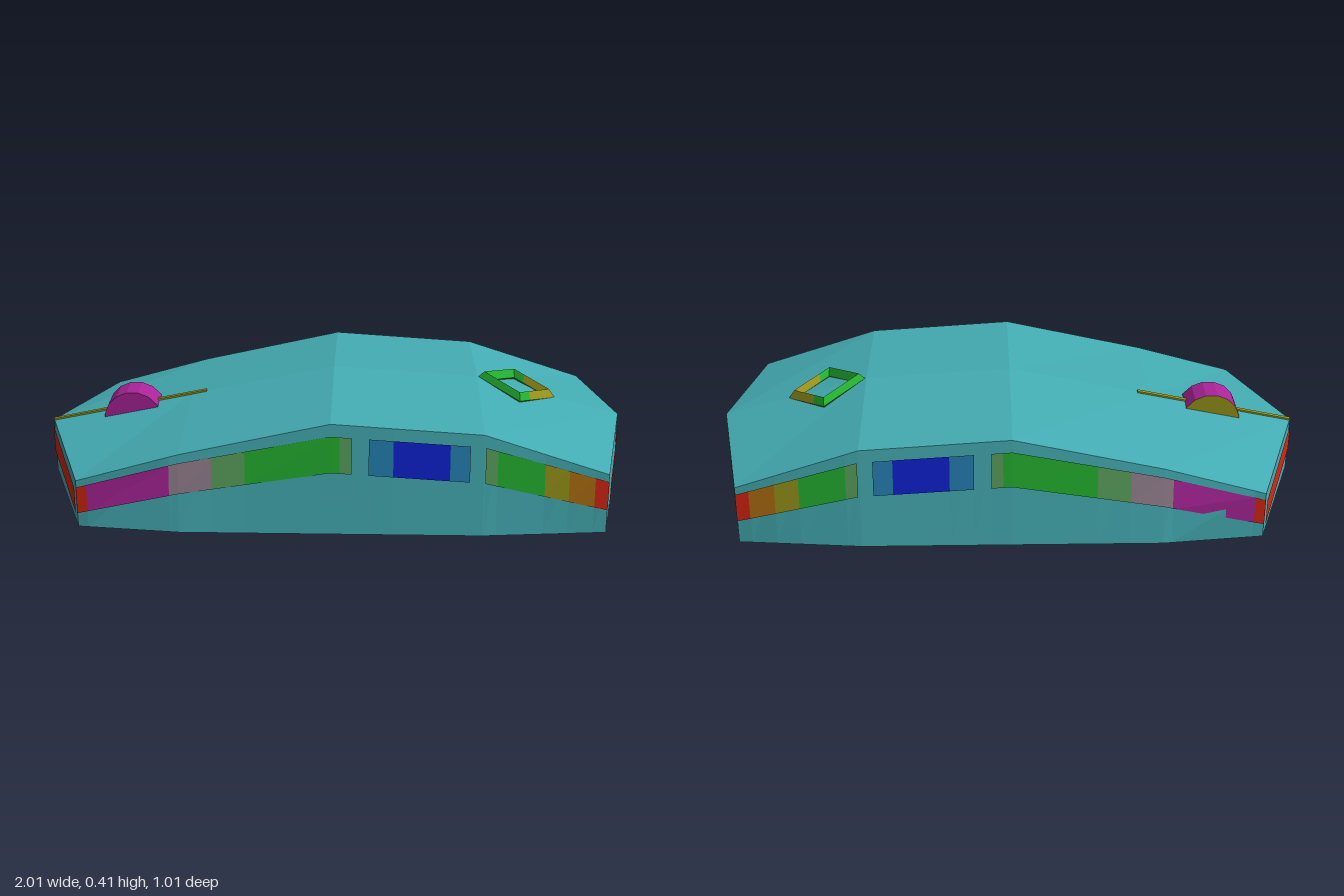
import * as THREE from 'three';

const colour = (name, hex) => {
  const m = new THREE.MeshStandardMaterial({ color: hex, flatShading: true });
  m.name = name;
  return m;
};

const lerp = THREE.MathUtils.lerp;

// Mesh from four-cornered faces on the +z half, mirrored to the -z half
function mirroredMesh(name, quads, material) {
  const pos = [];
  const add = (a, b, c, d) => [a, b, c, a, c, d].forEach((p) => pos.push(...p));
  const flip = ([x, y, z]) => [x, y, -z];
  for (const [a, b, c, d] of quads) {
    add(a, b, c, d);
    add(flip(d), flip(c), flip(b), flip(a));
  }
  const g = new THREE.BufferGeometry();
  g.setAttribute('position', new THREE.Float32BufferAttribute(pos, 3));
  g.computeVertexNormals();
  const mesh = new THREE.Mesh(g, material);
  mesh.name = name;
  return mesh;
}

// Stations along the body: side x, side top y, base half width, ridge x, ridge y, stripe bottom, stripe top
const stations = [
  [-0.84, 0.165, 0.467, -1, 0.195, 0.05, 0.143],
  [-0.5, 0.262, 0.505, -0.5, 0.3, 0.132, 0.235],
  [0, 0.375, 0.505, 0, 0.406, 0.212, 0.335],
  [0.5, 0.342, 0.505, 0.5, 0.374, 0.182, 0.303],
  [0.91, 0.208, 0.467, 1, 0.237, 0.083, 0.184],
];
const TOP_Z = 0.467;

// Body section at any x between the two end stations
function section(x) {
  let i = 0;
  while (i < stations.length - 2 && x > stations[i + 1][0]) i++;
  const [a, b] = [stations[i], stations[i + 1]];
  const t = (x - a[0]) / (b[0] - a[0]);
  const [, top, base, , , lo, hi] = a.map((v, k) => lerp(v, b[k], t));
  return { top, base, lo, hi };
}

// Point on the side wall, pushed out by an offset
function wallPoint(x, y, offset = 0) {
  const s = section(x);
  return [x, y, lerp(s.base, TOP_Z, y / s.top) + offset];
}

export function createModel() {
  const group = new THREE.Group();
  const teal = colour('teal', 0x44adb4);
  const red = colour('red', 0xd82612);
  const magenta = colour('magenta', 0xaa2499);
  const green = colour('green', 0x24b030);
  const blue = colour('blue', 0x0f22d2);
  const midBlue = colour('mid blue', 0x2580b4);
  const sage = colour('sage', 0x5a9f5c);
  const mauve = colour('mauve', 0x94808e);
  const amber = colour('amber', 0xb27012);
  const olive = colour('olive', 0x98941a);

  // Colour bands of the side stripe: start, end, material
  const bands = [
    [-0.84, -0.805, red], [-0.805, -0.53, magenta], [-0.53, -0.39, mauve],
    [-0.39, -0.28, sage], [-0.28, 0.03, green], [0.03, 0.07, sage],
    [0.125, 0.205, midBlue], [0.205, 0.39, blue], [0.39, 0.455, midBlue],
    [0.505, 0.545, sage], [0.545, 0.7, green], [0.7, 0.78, olive],
    [0.78, 0.865, amber], [0.865, 0.91, red],
  ];
  const cuts = [...new Set([...bands.flatMap((b) => [b[0], b[1]]), ...stations.map((s) => s[0])])]
    .sort((a, b) => a - b);

  // Upper shell and underside
  const shell = [], under = [];
  for (let i = 0; i < stations.length - 1; i++) {
    const [a, b] = [stations[i], stations[i + 1]];
    shell.push([[a[0], a[1], TOP_Z], [b[0], b[1], TOP_Z], [b[3], b[4], 0], [a[3], a[4], 0]]);
    under.push([[a[3], 0, 0], [b[3], 0, 0], [b[0], 0, b[2]], [a[0], 0, a[2]]]);
  }
  group.add(mirroredMesh('topShell', shell, teal));
  group.add(mirroredMesh('underside', under, olive));

  // Side walls
  const walls = [];
  for (let i = 0; i < cuts.length - 1; i++) {
    const [x0, x1] = [cuts[i], cuts[i + 1]];
    walls.push([wallPoint(x0, 0), wallPoint(x1, 0),
      wallPoint(x1, section(x1).top), wallPoint(x0, section(x0).top)]);
  }
  group.add(mirroredMesh('sideWalls', walls, teal));

  // End walls and their red stripes
  const first = stations[0], last = stations[4];
  const endFace = (s, dir, lo, hi, midLo, midHi, out) => {
    const c = (y) => [s[0] + dir * out, y, TOP_Z + out];
    const m = (y) => [s[3] + (out ? dir * 0.004 : 0), y, 0];
    return dir > 0 ? [c(lo), m(midLo), m(midHi), c(hi)] : [m(midLo), c(lo), c(hi), m(midHi)];
  };
  group.add(mirroredMesh('endWalls', [
    endFace(first, -1, 0, first[1], 0, first[4], 0),
    endFace(last, 1, 0, last[1], 0, last[4], 0),
  ], teal));
  group.add(mirroredMesh('endStripes', [
    endFace(first, -1, first[5], first[6], 0.075, 0.172, 0.005),
    endFace(last, 1, last[5], last[6], 0.107, 0.212, 0.005),
  ], red));

  // Side stripe, band by band
  for (const [start, end, material] of bands) {
    const quads = [];
    const xs = cuts.filter((x) => x >= start && x <= end);
    for (let i = 0; i < xs.length - 1; i++) {
      const [x0, x1] = [xs[i], xs[i + 1]];
      const [s0, s1] = [section(x0), section(x1)];
      quads.push([wallPoint(x0, s0.lo, 0.005), wallPoint(x1, s1.lo, 0.005),
        wallPoint(x1, s1.hi, 0.005), wallPoint(x0, s0.hi, 0.005)]);
    }
    group.add(mirroredMesh('sideStripe', quads, material));
  }

  // Diamond ring lying on the sloping rear
  const ringPoint = ([u, w], rx, rz, h) => [0.64 + u * rx, 0.335 - 0.278 * u * rx + h, w * rz];
  const ringPart = (path, material) => {
    const quads = [];
    for (let i = 0; i < path.length - 1; i++) {
      const rows = [[0.135, 0.14, 0], [0.114, 0.118, 0.025], [0.0925, 0.095, 0], [0.114, 0.118, -0.015]];
      rows.forEach((r, k) => {
        const n = rows[(k + 1) % rows.length];
        quads.push([ringPoint(path[i], ...r), ringPoint(path[i + 1], ...r),
          ringPoint(path[i + 1], ...n), ringPoint(path[i], ...n)]);
      });
    }
    group.add(mirroredMesh('diamondRing', quads, material));
  };
  ringPart([[-1, 0], [0, 1], [0.3, 0.7]], green);
  ringPart([[0.3, 0.7], [1, 0]], olive);

  // Scroll wheel
  const wheelGeometry = new THREE.CylinderGeometry(0.103, 0.103, 0.11, 16);
  wheelGeometry.rotateY(Math.PI / 16).rotateX(Math.PI / 2);
  const wheel = new THREE.Mesh(wheelGeometry, [magenta, magenta, olive]);
  wheel.name = 'scrollWheel';
  wheel.position.set(-0.707, 0.218, 0);
  group.add(wheel);

  // Thin seam between the buttons
  const seam = new THREE.Mesh(new THREE.BoxGeometry(0.56, 0.008, 0.016), olive);
  seam.name = 'buttonSeam';
  seam.position.set(-0.725, 0.254, 0);
  seam.rotation.z = Math.atan(0.211);
  group.add(seam);

  return group;
}
